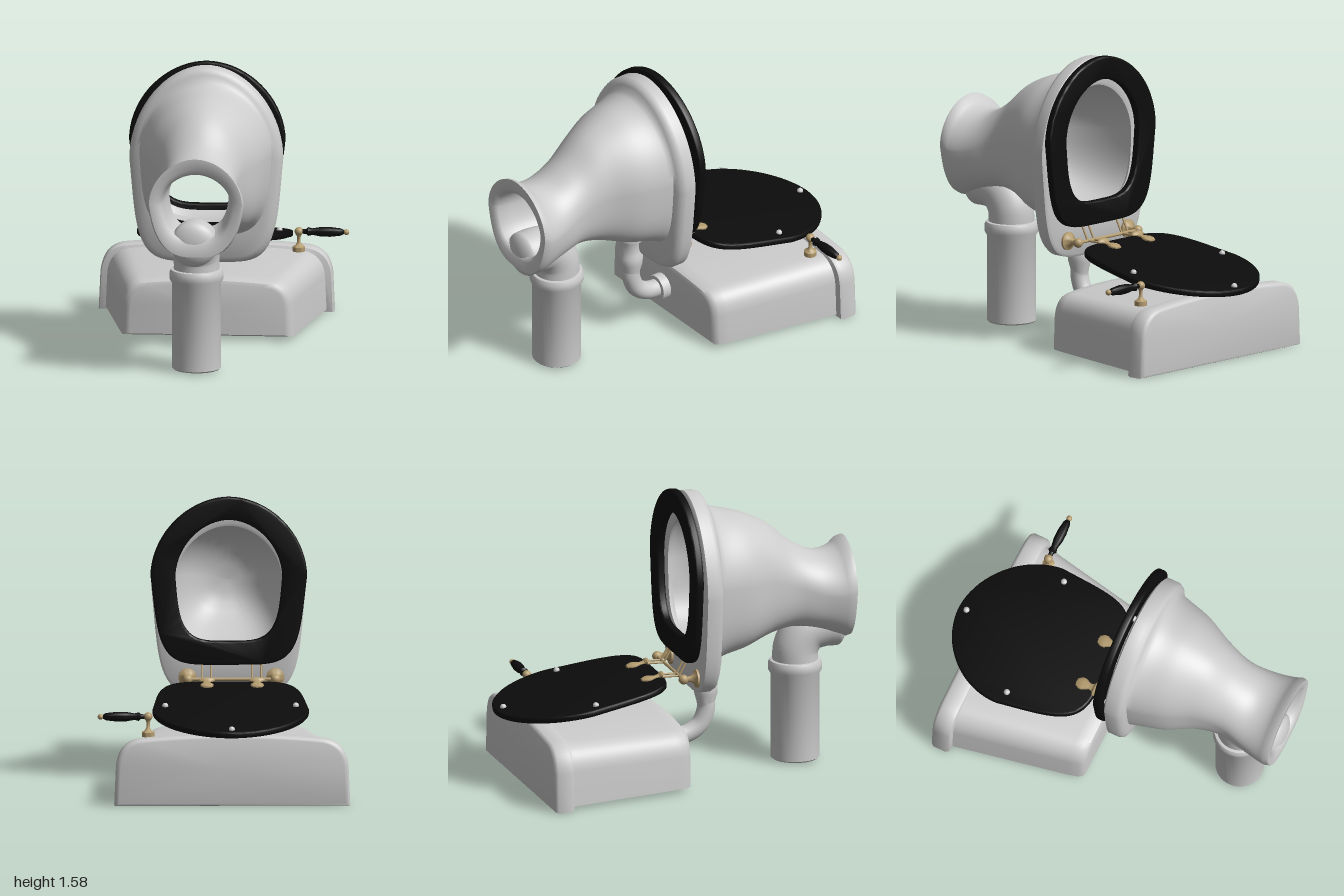
import * as THREE from 'three';
import { toCreasedNormals } from 'three/addons/utils/BufferGeometryUtils.js';

const CX = -0.04; // centre line of the bowl and tank
const grey = new THREE.MeshStandardMaterial({ color: 0xcccccc });
const black = new THREE.MeshStandardMaterial({ color: 0x0c0c0c });
const brass = new THREE.MeshStandardMaterial({ color: 0xb39b6e });
const V = (x, y, z) => new THREE.Vector3(x, y, z);

function add(parent, name, geo, mat, x = 0, y = 0, z = 0) {
  const m = new THREE.Mesh(geo, mat);
  m.name = name;
  m.position.set(x, y, z);
  parent.add(m);
  return m;
}

// Egg outline: rounded top, squarer tapered bottom
function egg(w, top, bottom, n, taper) {
  const mid = bottom + (top - bottom) * 0.53, pts = [], count = 72;
  for (let i = 0; i < count; i++) {
    const a = (i / count) * Math.PI * 2, c = Math.cos(a), s = Math.sin(a);
    const e = s >= 0 ? 2 / 1.9 : 2 / n;
    const u = Math.sign(c) * Math.abs(c) ** e, v = Math.abs(s) ** e;
    pts.push(s >= 0
      ? new THREE.Vector2(u * w, mid + v * (top - mid))
      : new THREE.Vector2(u * w * (1 - taper * v), mid - v * (mid - bottom)));
  }
  return pts;
}

// Skin over closed rings; each ring is {z, pts}
function loft(rings, crease) {
  const n = rings[0].pts.length, pos = [], idx = [];
  for (const r of rings) for (const p of r.pts) pos.push(p.x, p.y, r.z);
  for (let i = 0; i < rings.length - 1; i++) {
    for (let j = 0; j < n; j++) {
      const a = i * n + j, b = i * n + (j + 1) % n;
      idx.push(a, b, b + n, a, b + n, a + n);
    }
  }
  const g = new THREE.BufferGeometry();
  g.setAttribute('position', new THREE.Float32BufferAttribute(pos, 3));
  g.setIndex(idx);
  return toCreasedNormals(g, crease);
}

// Bowl as one skin: basin, rim, outer body, foot lip and hollow foot
function bowlGeometry() {
  const rings = [];
  const ring = (z, ...shape) => rings.push({ z, pts: egg(...shape) });
  // basin, from its closed end to the opening
  for (let i = 0; i <= 10; i++) {
    const a = (i / 10) * Math.PI / 2, f = Math.max(0.003, Math.sin(a) ** 0.8);
    ring(0.12 + 0.52 * Math.cos(a), 0.32 * f, 1.04 + 0.4 * f, 1.04 - 0.32 * f, 3, 0);
  }
  // rim: rounded opening, then rounded outer edge
  for (const [z, d] of [[0.1, 0.01], [0.085, 0.015], [0.08, 0]]) ring(z, 0.31 - d, 1.43 - d, 0.74 + d, 3.5, 0.05);
  for (const [z, d] of [[0.08, 0.015], [0.09, 0], [0.15, 0], [0.175, 0.012], [0.188, 0.035]]) {
    ring(z, 0.42 - d, 1.57 - d, 0.48 + d, 5, 0.12);
  }
  // outer body: half width, top and bottom at each z, smoothly interpolated
  const body = new THREE.CubicInterpolant(
    [0.196, 0.23, 0.38, 0.54, 0.68, 0.82, 0.94, 0.985, 1],
    [[0.362, 1.5, 0.64], [0.354, 1.478, 0.657], [0.312, 1.437, 0.692], [0.238, 1.365, 0.745], [0.207, 1.25, 0.772],
      [0.228, 1.178, 0.748], [0.255, 1.2, 0.703], [0.262, 1.243, 0.69], [0.255, 1.245, 0.695]].flat(), 3);
  for (let i = 0; i <= 32; i++) {
    const z = 0.196 + (0.804 * i) / 32;
    const taper = Math.max(0, (z - 0.75) * 0.8) + Math.max(0, (0.5 - z) * 0.25);
    ring(z, ...body.evaluate(z), 3 + Math.max(0, (0.55 - z) * 2.6), taper);
  }
  // foot lip and hollow
  ring(1, 0.215, 1.185, 0.76, 3, 0.2);
  ring(0.98, 0.195, 1.155, 0.785, 3, 0.2);
  ring(0.9, 0.185, 1.145, 0.79, 3, 0.15);
  ring(0.7, 0.163, 1.145, 0.8, 3, 0.1);
  return loft(rings, 0.9);
}

const lathe = (pts, seg = 32) =>
  toCreasedNormals(new THREE.LatheGeometry(pts.map(p => new THREE.Vector2(...p)), seg), 0.7);
const tube = (pts, r, seg = 24, sides = 24) =>
  new THREE.TubeGeometry(new THREE.CatmullRomCurve3(pts), seg, r, sides);
const ball = r => new THREE.SphereGeometry(r, 20, 14);

function plate(outline, depth, hole) {
  const s = new THREE.Shape(outline);
  if (hole) s.holes.push(new THREE.Path(hole));
  const b = 0.01;
  const g = new THREE.ExtrudeGeometry(s, {
    depth: depth - 2 * b, bevelSize: b, bevelThickness: b, bevelOffset: -b, bevelSegments: 3,
  });
  g.translate(0, 0, b);
  return toCreasedNormals(g, 0.6);
}

export function createModel() {
  const root = new THREE.Group();
  root.name = 'toilet';
  add(root, 'bowl', bowlGeometry(), grey, CX);

  // Seat ring, standing up against the rim
  add(root, 'seatRing', plate(egg(0.428, 1.58, 0.655, 5, 0.13), 0.045,
    egg(0.292, 1.455, 0.785, 4, 0.1).reverse()), black, CX, 0, 0.02);
  for (const [x, y] of [[0, 1.52], [-0.36, 1.1], [0.36, 1.1]]) {
    add(root, 'seatBumper', ball(0.017), grey, CX + x, y, 0.065);
  }

  // Seat lid, folded down over the tank
  const lid = new THREE.Group();
  lid.name = 'seatLid';
  lid.position.set(CX, 0.583, -0.085);
  lid.rotation.x = -(Math.PI / 2 + 0.17);
  root.add(lid);
  add(lid, 'lidPanel', plate(egg(0.428, 0.93, 0, 5, 0.13), 0.035), black, 0, 0, -0.035);
  for (const [x, y] of [[0, 0.88], [-0.357, 0.455], [0.357, 0.455]]) {
    add(lid, 'lidBumper', ball(0.017), grey, x, y, 0.003);
  }

  // Hinges
  const hinge = new THREE.Group();
  hinge.name = 'hinge';
  root.add(hinge);
  const HX = -0.055, HY = 0.58;
  const strap = [[0, 0], [0.045, 0], [0.045, 0.012], [0.022, 0.025], [0.018, 0.045], [0.036, 0.08],
    [0.036, 0.1], [0.022, 0.122], [0, 0.128]];
  add(hinge, 'hingeBar', tube([V(HX - 0.24, HY, 0), V(HX + 0.24, HY, 0)], 0.009, 2, 12), brass);
  for (const s of [-1, 1]) {
    add(hinge, 'hingeBall', ball(0.027), brass, HX + s * 0.24, HY, 0);
    const mount = add(hinge, 'hingeMount',
      lathe([[0, -0.085], [0.05, -0.085], [0.05, -0.068], [0.03, -0.06], [0.016, -0.04], [0.014, 0], [0, 0]], 24),
      brass, HX + s * 0.24, HY, 0);
    mount.rotation.x = -Math.PI / 2;
    const st = add(lid, 'hingeStrap', lathe(strap, 24), brass, HX - CX + s * 0.137, 0, 0.003);
    st.scale.z = 0.4;
    for (const d of [-0.025, 0.025]) {
      const x = HX + s * 0.137 + d;
      add(hinge, 'lidRod', tube([V(x, HY, 0), V(x, 0.582, -0.095)], 0.006, 2, 8), brass);
      add(hinge, 'seatRod', tube([V(x, HY, 0), V(x, 0.665, 0.045)], 0.006, 2, 8), brass);
    }
  }

  // Tank with its cover, lying on its back
  const outline = new THREE.Shape();
  outline.moveTo(-1, 0);
  outline.lineTo(1, 0);
  outline.lineTo(0.985, 0.55);
  outline.quadraticCurveTo(0.965, 0.88, 0.79, 0.935);
  outline.quadraticCurveTo(0.4, 1, 0, 1);
  outline.quadraticCurveTo(-0.4, 1, -0.79, 0.935);
  outline.quadraticCurveTo(-0.965, 0.88, -0.985, 0.55);
  const section = outline.getPoints(12);
  const tank = [ // z, half width, bottom, top
    [-0.857, 0.001, 0.19, 0.191], [-0.857, 0.62, 0.015, 0.37], [-0.852, 0.635, 0.005, 0.382],
    [-0.838, 0.645, 0, 0.39], [-0.765, 0.645, 0, 0.39], [-0.748, 0.638, 0.005, 0.384],
    [-0.742, 0.605, 0.02, 0.37], [-0.1, 0.48, 0.025, 0.353], [-0.045, 0.466, 0.025, 0.348],
    [-0.022, 0.45, 0.028, 0.335], [-0.015, 0.425, 0.035, 0.315], [-0.015, 0.001, 0.18, 0.181],
  ];
  add(root, 'tank', loft(tank.map(([z, w, b, t]) => ({
    z, pts: section.map(p => new THREE.Vector2(p.x * w, b + p.y * (t - b))),
  })), 0.7), grey, CX - 0.005);

  // Flush lever on the tank
  const lever = new THREE.Group();
  lever.name = 'flushLever';
  lever.position.set(0.413, 0, -0.675);
  root.add(lever);
  add(lever, 'leverPost', lathe([[0, 0.36], [0.034, 0.36], [0.034, 0.385], [0.018, 0.395], [0.01, 0.41],
    [0.01, 0.44], [0.016, 0.455], [0, 0.47]], 24), brass);
  add(lever, 'leverBall', ball(0.024), brass, 0, 0.47, 0);
  const grip = add(lever, 'leverGrip', lathe([[0, 0.02], [0.012, 0.02], [0.014, 0.04], [0.024, 0.05], [0.018, 0.075],
    [0.026, 0.12], [0.027, 0.17], [0.02, 0.23], [0.012, 0.245], [0, 0.25]], 24), black, 0, 0.47, 0);
  grip.rotation.z = -Math.PI / 2;
  add(lever, 'leverTip', ball(0.016), brass, 0.26, 0.47, 0);

  // Drain pipe with collar and elbow from the foot
  const PX = -0.053, PZ = 0.715;
  add(root, 'drainPipe', lathe([[0, 0.01], [0.125, 0.01], [0.134, 0.018], [0.134, 0.49], [0.148, 0.515],
    [0.148, 0.55], [0.14, 0.568], [0.12, 0.572]], 40), grey, PX, 0, PZ);
  add(root, 'drainElbow', tube([V(PX, 0.755, 0.94), V(PX, 0.755, 0.87), V(PX, 0.725, 0.775),
    V(PX, 0.645, 0.722), V(PX, 0.54, PZ)], 0.125, 28, 36), grey);
  add(root, 'drainElbowCap', new THREE.SphereGeometry(0.125, 32, 20), grey, PX, 0.755, 0.94).scale.z = 0.45;

  // Flush pipe from the tank to the bowl
  const FX = -0.05, FZ = 0.205;
  add(root, 'flushPipeJoint', lathe([[0.048, 0.345], [0.05, 0.37], [0.064, 0.42], [0.066, 0.47], [0.056, 0.49],
    [0.055, 0.56], [0.062, 0.585], [0.085, 0.588], [0.085, 0.67], [0, 0.67]]), grey, FX, 0, FZ);
  add(root, 'flushPipe', tube([V(FX, 0.4, FZ), V(FX, 0.33, FZ), V(FX, 0.245, 0.17),
    V(FX, 0.198, 0.1), V(FX, 0.185, 0.01)], 0.05, 28), grey);
  add(root, 'flushPipeCollar', new THREE.CylinderGeometry(0.074, 0.074, 0.055, 32), grey,
    FX, 0.185, 0.008).rotation.x = Math.PI / 2;

  return root;
}
